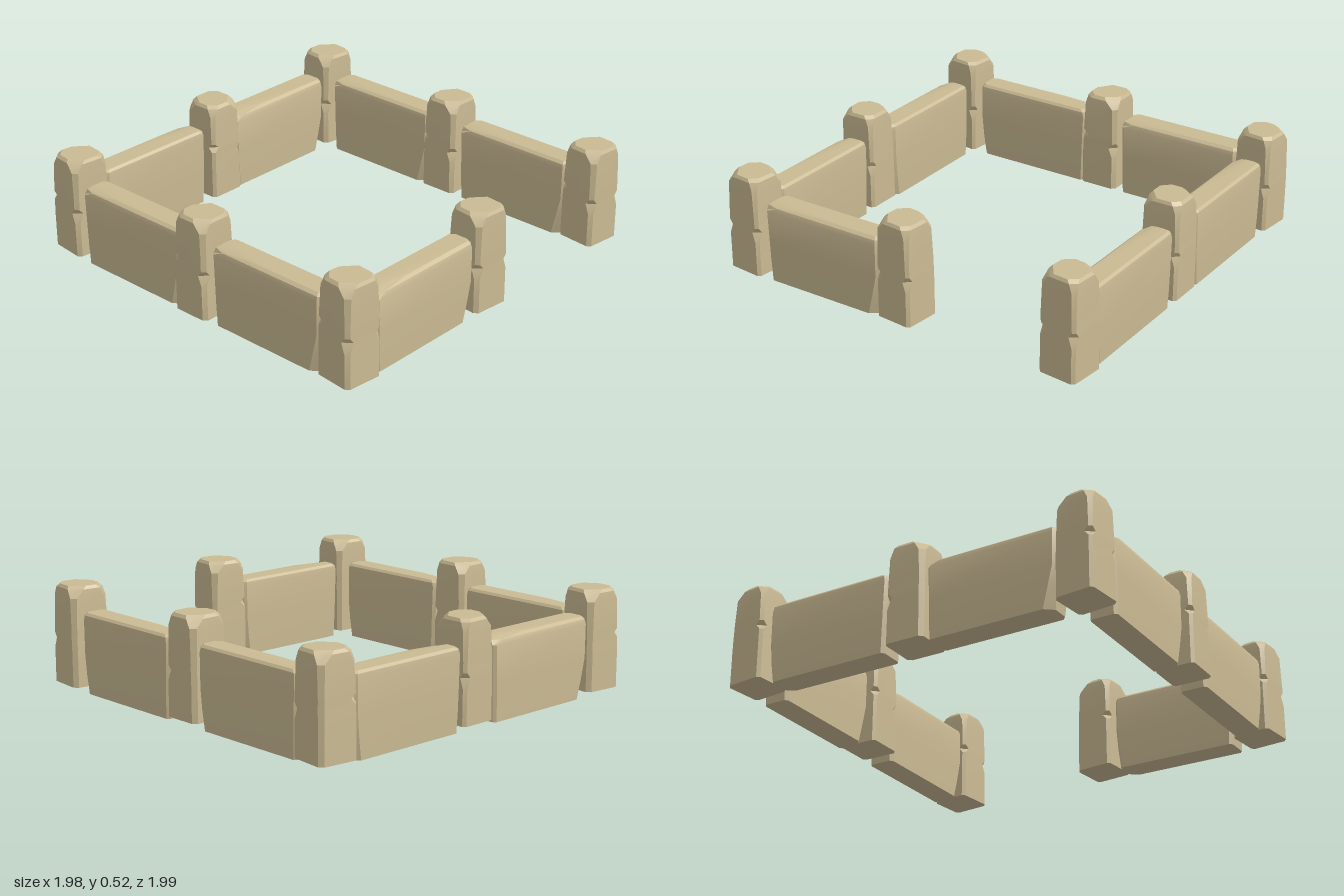
import * as THREE from 'three';
import { toCreasedNormals } from 'three/addons/utils/BufferGeometryUtils.js';

// One horizontal section: a rectangle whose four corners are cut off.
// Corner order: right front, right back, left back, left front.
function section(y, x0, x1, z0, z1, cuts) {
  const [a, b, c, d] = cuts.map((k) => (Array.isArray(k) ? k : [k, k]));
  return [
    [x1 - a[0], y, z1], [x1, y, z1 - a[1]],
    [x1, y, z0 + b[1]], [x1 - b[0], y, z0],
    [x0 + c[0], y, z0], [x0, y, z0 + c[1]],
    [x0, y, z1 - d[1]], [x0 + d[0], y, z1],
  ];
}

// Skins a stack of sections and closes both ends.
function loft(sections) {
  const n = 8, pos = sections.flat(2), idx = [];
  const last = sections.length - 1;
  for (let k = 0; k < last; k++) {
    for (let i = 0; i < n; i++) {
      const j = (i + 1) % n;
      const a = k * n + i, b = k * n + j;
      idx.push(a, b, b + n, a, b + n, a + n);
    }
  }
  for (let i = 1; i < n - 1; i++) {
    idx.push(0, i + 1, i);
    idx.push(last * n, last * n + i, last * n + i + 1);
  }
  const geo = new THREE.BufferGeometry();
  geo.setAttribute('position', new THREE.Float32BufferAttribute(pos, 3));
  geo.setIndex(idx);
  return toCreasedNormals(geo, 0.4);
}

// Upright stone with chipped corners and a bevelled head
function postGeometry() {
  const c = [0.018, 0.014, 0.02, 0.014];
  return loft([
    section(0.025, -0.1, 0.1, -0.1, 0.1, c),
    section(0.2, -0.1, 0.099, -0.1, 0.1, c),
    section(0.25, -0.099, 0.098, -0.1, 0.099, [0.038, 0.032, 0.02, 0.014]),
    section(0.275, -0.098, 0.098, -0.1, 0.099, c),
    section(0.3, -0.098, 0.098, -0.099, 0.099, [0.018, 0.014, 0.02, 0.036]),
    section(0.32, -0.098, 0.098, -0.099, 0.098, c),
    section(0.465, -0.094, 0.096, -0.097, 0.096, [0.022, 0.018, 0.024, 0.018]),
    section(0.505, -0.09, 0.094, -0.094, 0.092, [[0.06, 0.045], 0.03, [0.045, 0.06], 0.035]),
    section(0.52, -0.08, 0.086, -0.084, 0.08, [[0.065, 0.055], 0.035, [0.05, 0.07], 0.04]),
  ]);
}

// Wall slab with worn ends and a sloping chip along one top edge
function slabGeometry() {
  const c = [0.014, 0.014, 0.014, 0.014];
  return loft([
    section(0, -0.318, 0.312, -0.066, 0.068, [[0.045, 0.035], 0.02, 0.014, 0.014]),
    section(0.1, -0.322, 0.322, -0.069, 0.07, [[0.03, 0.025], 0.016, 0.014, 0.014]),
    section(0.2, -0.325, 0.329, -0.07, 0.07, c),
    section(0.365, -0.33, 0.33, -0.07, 0.07, c),
    section(0.388, -0.326, 0.329, -0.067, 0.064, [0.016, 0.016, 0.016, [0.06, 0.02]]),
    section(0.4, -0.312, 0.324, -0.056, 0.048, [0.02, 0.02, 0.02, [0.19, 0.04]]),
  ]);
}

export function createModel() {
  const model = new THREE.Group();
  const stone = new THREE.MeshStandardMaterial({ color: 0xcbbb94 });
  stone.name = 'sandstone';

  const place = (geo, name, x, z, turn) => {
    const mesh = new THREE.Mesh(geo, stone);
    mesh.name = name;
    mesh.position.set(x, 0, z);
    mesh.rotation.y = turn;
    model.add(mesh);
  };

  // Posts: those at corners and beside the gateway stand slightly askew
  const post = postGeometry();
  const skew = -0.1;
  [
    ['backRightPost', -0.882, -0.888, skew],
    ['backMiddlePost', 0, -0.868, 0],
    ['backLeftPost', 0.876, -0.88, skew],
    ['rightMiddlePost', -0.867, -0.012, Math.PI / 2],
    ['gatePost', 0.876, 0, skew],
    ['frontRightPost', -0.88, 0.868, skew],
    ['frontMiddlePost', 0, 0.893, 0],
    ['frontLeftPost', 0.878, 0.88, skew],
  ].forEach((p) => place(post, ...p));

  // Wall slabs between the posts, leaving one gap as the gateway
  const slab = slabGeometry();
  const q = Math.PI / 2;
  [
    ['backRightWall', -0.438, -0.88, 0],
    ['backLeftWall', 0.438, -0.88, 0],
    ['frontRightWall', -0.438, 0.88, 0],
    ['frontLeftWall', 0.438, 0.88, 0],
    ['rightBackWall', -0.882, -0.448, q],
    ['rightFrontWall', -0.882, 0.428, -q],
    ['leftFrontWall', 0.872, 0.44, q],
  ].forEach((w) => place(slab, ...w));

  return model;
}
